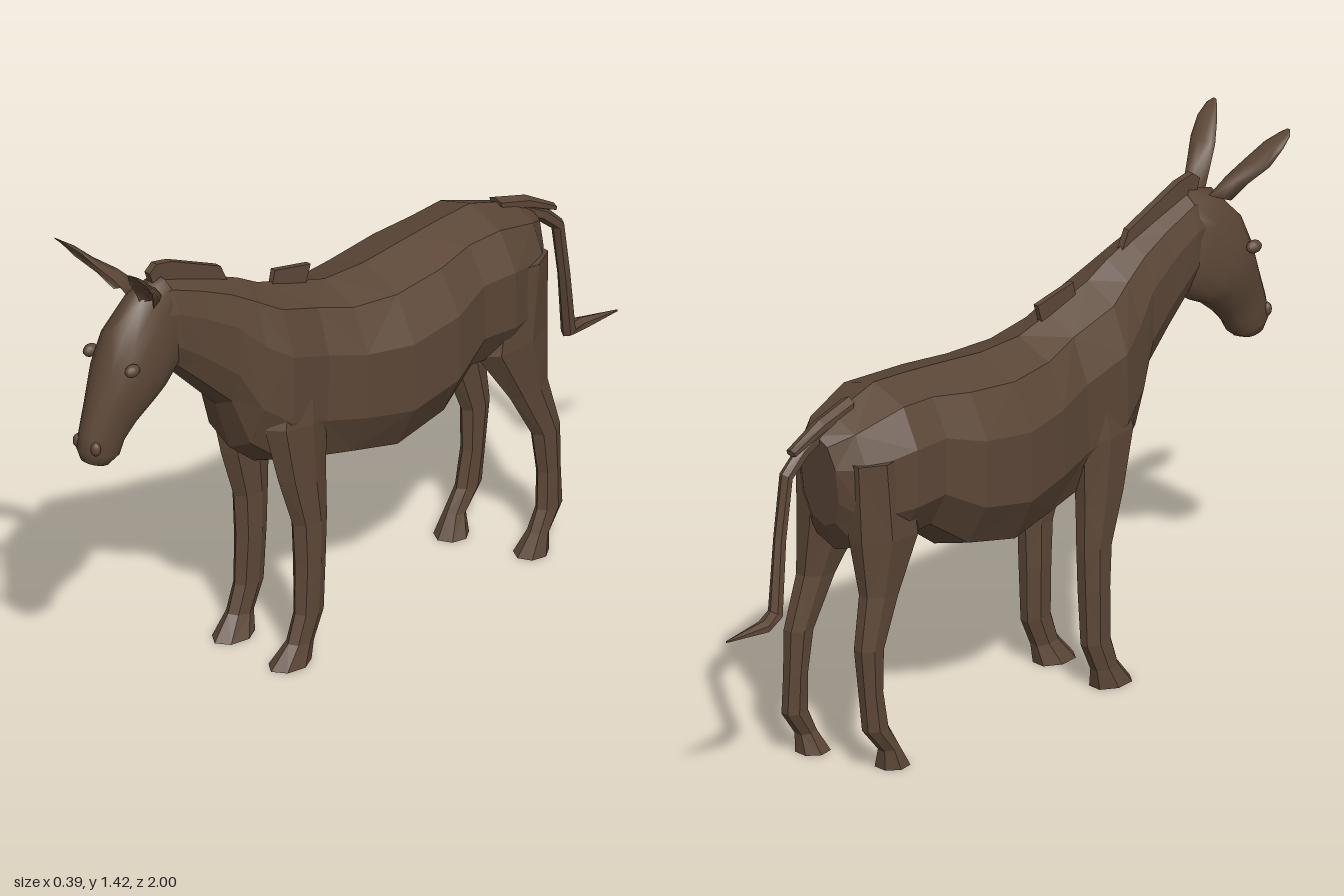
import * as THREE from 'three';

const hide = new THREE.MeshStandardMaterial({ color: 0x5c4737 });
hide.name = 'brown hide';

// Loft through rings. Each section is [x, y1, z1, y2, z2, halfWidth]: the ring spans
// from point 1 to point 2 in the yz plane and halfWidth to either side in x.
// power < 1 makes rings boxier; cup < 0 folds the first half inwards.
function loft(name, sections, { sides = 8, smooth = false, power = 1, cup = 1 } = {}) {
  const pos = [], idx = [];
  const soft = (v) => Math.sign(v) * Math.abs(v) ** power;
  for (const [x, y1, z1, y2, z2, w] of sections) {
    for (let i = 0; i < sides; i++) {
      const a = (i / sides) * Math.PI * 2;
      let c = soft(Math.cos(a)) / 2;
      if (c > 0) c *= cup;
      pos.push(x + soft(Math.sin(a)) * w, (y1 + y2) / 2 + (y1 - y2) * c, (z1 + z2) / 2 + (z1 - z2) * c);
    }
  }
  const last = sections.length - 1;
  for (let s = 0; s < last; s++) {
    for (let i = 0; i < sides; i++) {
      const a = s * sides + i, b = s * sides + (i + 1) % sides, c = a + sides, d = b + sides;
      if ((s + i) % 2) idx.push(a, b, c, b, d, c);
      else idx.push(a, b, d, a, d, c);
    }
  }
  // end caps
  for (let i = 1; i < sides - 1; i++) {
    const o = last * sides;
    idx.push(0, i + 1, i, o, o + i, o + i + 1);
  }
  // turn the faces outward if the enclosed volume comes out negative
  const p = (i) => new THREE.Vector3().fromArray(pos, i * 3);
  let volume = 0;
  for (let i = 0; i < idx.length; i += 3) volume += p(idx[i]).dot(p(idx[i + 1]).cross(p(idx[i + 2])));
  if (volume < 0) idx.reverse();
  let geo = new THREE.BufferGeometry();
  geo.setAttribute('position', new THREE.Float32BufferAttribute(pos, 3));
  geo.setIndex(idx);
  if (!smooth) geo = geo.toNonIndexed();
  geo.computeVertexNormals();
  return named(name, geo);
}

function named(name, geo) {
  const mesh = new THREE.Mesh(geo, hide);
  mesh.name = name;
  return mesh;
}

// Upright fin on the centre line from a [z, y] outline
function fin(name, outline, thickness) {
  const shape = new THREE.Shape(outline.map(([z, y]) => new THREE.Vector2(z, y)));
  const geo = new THREE.ExtrudeGeometry(shape, { depth: thickness, bevelEnabled: false });
  return named(name, geo.translate(0, 0, -thickness / 2).rotateY(-Math.PI / 2));
}

function ball(name, x, y, z, sx, sy, sz) {
  const mesh = named(name, new THREE.SphereGeometry(1, 12, 8));
  mesh.position.set(x, y, z);
  mesh.scale.set(sx, sy, sz);
  return mesh;
}

export function createModel() {
  const g = new THREE.Group();
  g.name = 'donkey';

  // trunk, chest and neck, from rump to poll
  g.add(loft('body', [
    [0, 0.97, -0.635, 0.70, -0.60, 0.07],
    [0, 1.01, -0.57, 0.62, -0.56, 0.135],
    [0, 1.06, -0.42, 0.61, -0.43, 0.18],
    [0, 1.055, -0.31, 0.62, -0.32, 0.175],
    [0, 1.045, -0.19, 0.53, -0.2, 0.205],
    [0, 1.03, -0.03, 0.49, -0.03, 0.205],
    [0, 1.035, 0.11, 0.52, 0.12, 0.175],
    [0, 1.07, 0.22, 0.54, 0.24, 0.145],
    [0, 1.12, 0.36, 0.585, 0.37, 0.155],
    [0, 1.16, 0.43, 0.66, 0.46, 0.125],
    [0, 1.195, 0.51, 0.81, 0.51, 0.098],
    [0, 1.23, 0.60, 0.91, 0.61, 0.08],
    [0, 1.27, 0.71, 0.98, 0.68, 0.07],
    [0, 1.26, 0.78, 1.02, 0.72, 0.06],
  ], { sides: 10, power: 0.85 }));

  // head, from poll to lips
  g.add(loft('head', [
    [0, 1.28, 0.72, 1.07, 0.65, 0.055],
    [0, 1.255, 0.81, 0.99, 0.68, 0.073],
    [0, 1.17, 0.89, 0.955, 0.73, 0.086],
    [0, 1.08, 0.93, 0.935, 0.77, 0.084],
    [0, 0.98, 0.965, 0.89, 0.825, 0.063],
    [0, 0.90, 0.993, 0.85, 0.86, 0.05],
    [0, 0.85, 1.0, 0.815, 0.88, 0.051],
    [0, 0.815, 0.988, 0.795, 0.915, 0.036],
  ], { sides: 16, smooth: true, power: 0.9 }));
  g.add(ball('lowerLip', 0, 0.825, 0.925, 0.035, 0.03, 0.045));

  for (const side of [1, -1]) {
    const label = side > 0 ? 'left' : 'right';
    g.add(ball(label + 'Eye', side * 0.08, 1.085, 0.89, 0.017, 0.018, 0.024));
    g.add(ball(label + 'Nostril', side * 0.034, 0.865, 0.98, 0.014, 0.02, 0.014));

    // cupped ear
    g.add(loft(label + 'Ear', [
      [side * 0.05, 1.22, 0.86, 1.26, 0.76, 0.026],
      [side * 0.072, 1.275, 0.88, 1.30, 0.80, 0.035],
      [side * 0.105, 1.33, 0.905, 1.345, 0.86, 0.044],
      [side * 0.127, 1.38, 0.93, 1.387, 0.905, 0.036],
      [side * 0.14, 1.41, 0.95, 1.412, 0.942, 0.02],
      [side * 0.142, 1.423, 0.96, 1.423, 0.957, 0.005],
    ], { sides: 12, smooth: true, cup: -0.4 }));

    // front leg
    g.add(loft(label + 'FrontLeg', [
      [side * 0.095, 0.92, 0.38, 0.90, 0.22, 0.035],
      [side * 0.105, 0.74, 0.43, 0.72, 0.215, 0.05],
      [side * 0.11, 0.57, 0.385, 0.54, 0.22, 0.042],
      [side * 0.113, 0.42, 0.335, 0.42, 0.22, 0.036],
      [side * 0.113, 0.30, 0.327, 0.30, 0.225, 0.036],
      [side * 0.115, 0.15, 0.33, 0.14, 0.232, 0.03],
      [side * 0.115, 0.07, 0.355, 0.06, 0.268, 0.03],
      [side * 0.108, 0.005, 0.41, 0.005, 0.275, 0.047],
    ], { sides: 7 }));

    // hind leg; the right one steps forward below the thigh
    const step = (y) => (side < 0 ? 0.085 * THREE.MathUtils.clamp((0.66 - y) / 0.6, 0, 1) : 0);
    g.add(loft(label + 'HindLeg', [
      [0.09, 0.90, -0.40, 0.90, -0.60, 0.07],
      [0.10, 0.66, -0.35, 0.68, -0.595, 0.058],
      [0.11, 0.50, -0.46, 0.52, -0.59, 0.036],
      [0.113, 0.36, -0.54, 0.37, -0.632, 0.033],
      [0.113, 0.24, -0.56, 0.24, -0.635, 0.029],
      [0.115, 0.13, -0.555, 0.13, -0.64, 0.028],
      [0.115, 0.07, -0.53, 0.06, -0.59, 0.03],
      [0.108, 0.005, -0.49, 0.005, -0.59, 0.047],
    ].map(([x, y1, z1, y2, z2, w]) => [side * x, y1, z1 + step(y1), y2, z2 + step(y2), w]), { sides: 7 }));
  }

  // mane tufts
  g.add(fin('neckMane', [[0.47, 1.16], [0.74, 1.24], [0.76, 1.30], [0.735, 1.32], [0.68, 1.308], [0.50, 1.225]], 0.02));
  g.add(fin('withersMane', [[0.31, 1.09], [0.30, 1.135], [0.17, 1.105], [0.19, 1.04]], 0.016));

  // tail dock and tail with its swept tip
  g.add(loft('tailDock', [
    [0, 1.045, -0.51, 1.0, -0.52, 0.026],
    [0, 1.01, -0.62, 0.97, -0.62, 0.024],
    [0.005, 0.95, -0.72, 0.93, -0.715, 0.018],
  ], { sides: 6 }));
  g.add(loft('tail', [
    [0, 1.0, -0.60, 0.95, -0.61, 0.02],
    [0.005, 0.95, -0.69, 0.92, -0.66, 0.02],
    [0.005, 0.89, -0.75, 0.87, -0.72, 0.02],
    [-0.005, 0.72, -0.785, 0.71, -0.75, 0.018],
    [-0.03, 0.53, -0.825, 0.505, -0.79, 0.022],
    [-0.052, 0.522, -0.87, 0.488, -0.87, 0.024],
    [-0.045, 0.5, -1.0, 0.495, -1.0, 0.003],
  ], { sides: 6 }));

  return g;
}
